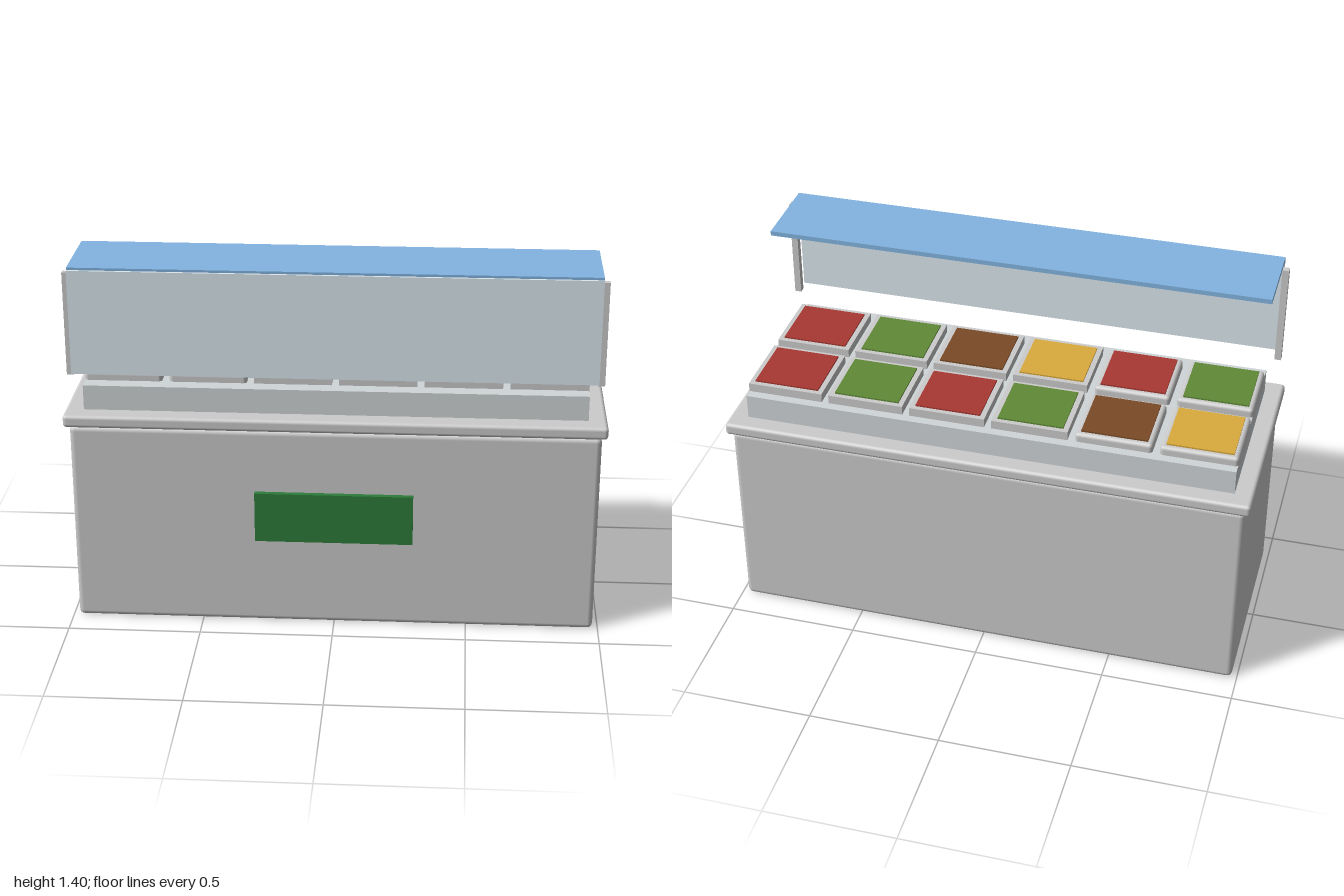
import * as THREE from 'three';
import { RoundedBoxGeometry } from 'three/addons/geometries/RoundedBoxGeometry.js';

const GREY = 0xcccccc;
const FOOD = { yellow: 0xdaaa3c, brown: 0x7a4a26, green: 0x5f8a36, red: 0xa83832 };

export function createModel() {
  const model = new THREE.Group();
  model.name = 'foodCounter';

  const materials = new Map();
  const material = (color) => {
    if (!materials.has(color)) materials.set(color, new THREE.MeshStandardMaterial({ color }));
    return materials.get(color);
  };

  // Box given by its [min, max] extents, with an optional edge radius
  const box = (name, [x0, x1], [y0, y1], [z0, z1], color = GREY, radius = 0, parent = model) => {
    const size = [x1 - x0, y1 - y0, z1 - z0];
    const geometry = radius
      ? new RoundedBoxGeometry(...size, 2, radius)
      : new THREE.BoxGeometry(...size);
    const mesh = new THREE.Mesh(geometry, material(color));
    mesh.name = name;
    mesh.position.set((x0 + x1) / 2, (y0 + y1) / 2, (z0 + z1) / 2);
    parent.add(mesh);
    return mesh;
  };

  // Cabinet, worktop and raised tray rail
  box('cabinet', [-0.98, 0.98], [0, 0.785], [-0.39, 0.39], GREY, 0.02);
  box('worktop', [-1, 1], [0.787, 0.835], [-0.41, 0.41], GREY, 0.014);
  box('trayRail', [-0.93, 0.93], [0.835, 0.93], [-0.34, 0.34], 0xd0d6d8);

  // Front sign panel
  box('signPanel', [-0.295, 0.295], [0.345, 0.54], [0.385, 0.41], 0x2e7d3c);

  // Two rows of six food trays
  const rows = [
    { name: 'backTray', z: -0.168, foods: ['yellow', 'brown', 'green', 'red', 'green', 'red'] },
    { name: 'frontTray', z: 0.147, foods: ['green', 'red', 'yellow', 'brown', 'green', 'red'] },
  ];
  for (const { name, z, foods } of rows) {
    foods.forEach((food, i) => {
      const x = (i - 2.5) * 0.315;
      const tray = new THREE.Group();
      tray.name = `${name}${i + 1}`;
      model.add(tray);
      // The two end columns have softened rims
      box('trayPan', [x - 0.144, x + 0.144], [0.885, 0.964], [z - 0.137, z + 0.137],
        GREY, i < 2 ? 0.014 : 0, tray);
      box('foodFilling', [x - 0.124, x + 0.124], [0.945, 0.97], [z - 0.118, z + 0.118],
        FOOD[food], 0, tray);
    });
  }

  // Sneeze guard: front pane, top shelf and side posts
  box('guardPane', [-0.957, 0.957], [1.0, 1.395], [0.385, 0.403], 0xdce8ee);
  box('guardShelf', [-0.957, 0.957], [1.386, 1.404], [0.08, 0.394], 0x82b4e2);
  for (const side of [-1, 1]) {
    const x = side * 0.968;
    box(side > 0 ? 'leftPost' : 'rightPost', [x - 0.0125, x + 0.0125], [0.983, 1.376],
      [0.342, 0.368], 0xdcdee0);
  }
  return model;
}
